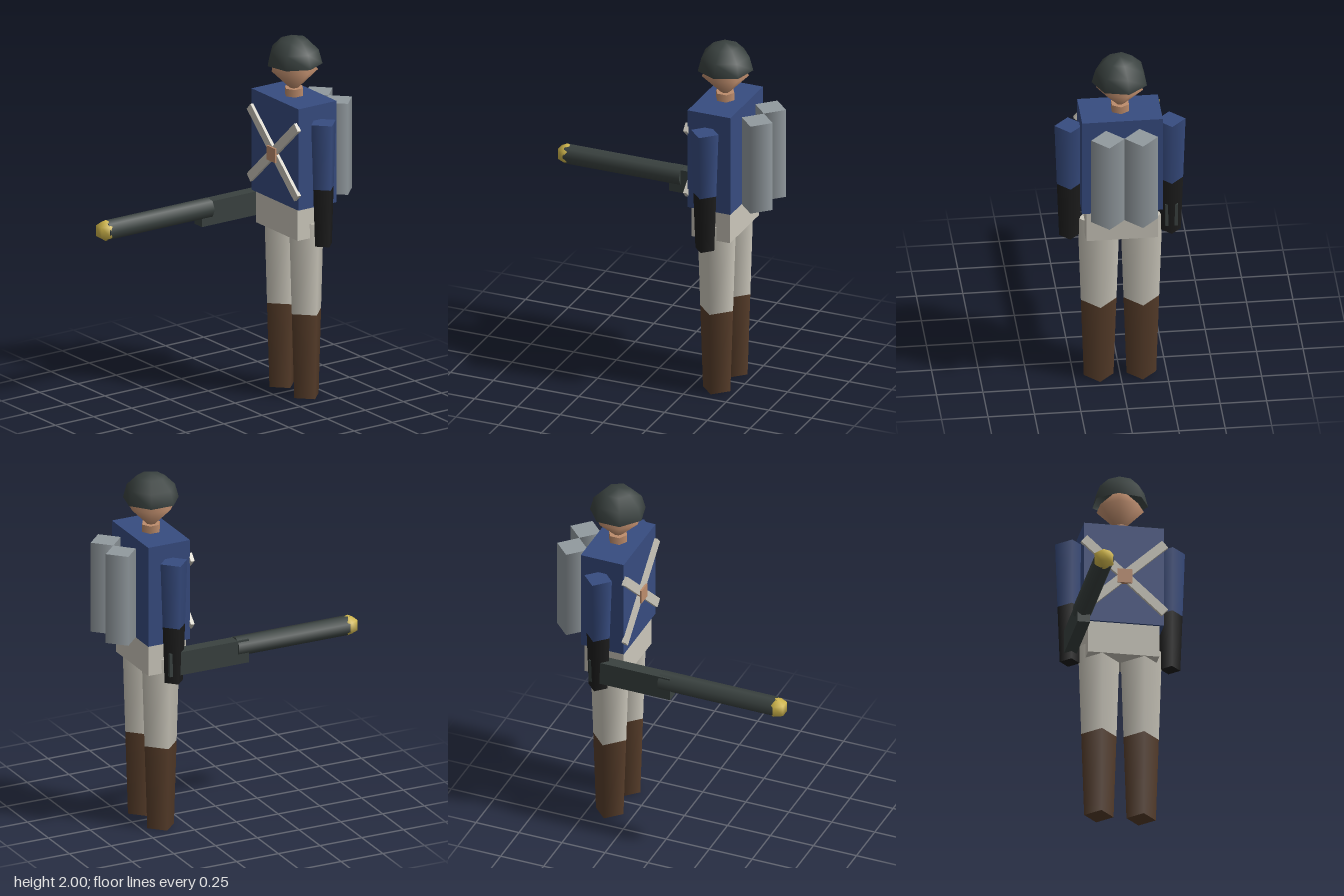
import * as THREE from 'three';

const mat = (name, color, side = THREE.FrontSide) => {
  const m = new THREE.MeshStandardMaterial({ color, side });
  m.name = name;
  return m;
};

export function createModel() {
  const blue = mat('coat blue', 0x374c80);
  const cream = mat('cream cloth', 0xcbc7bb);
  const brown = mat('boot brown', 0x573d2a);
  const skin = mat('skin', 0xbd8c6c);
  const iron = mat('dark iron', 0x3a4240, THREE.DoubleSide);
  const black = mat('glove black', 0x1d1d1d);
  const gold = mat('gold', 0xd2b84c);
  const grey = mat('canister grey', 0x929a9f);

  const model = new THREE.Group();
  model.name = 'soldier';
  const bodyZ = -0.386;

  const add = (name, geometry, material, x, y, z) => {
    const mesh = new THREE.Mesh(geometry, material);
    mesh.name = name;
    mesh.position.set(x, y, z);
    model.add(mesh);
    return mesh;
  };
  // Upright tapered column between two heights
  const column = (name, material, x, z, y0, y1, r0, r1, sides = 4) =>
    add(name, new THREE.CylinderGeometry(r1, r0, y1 - y0, sides), material, x, (y0 + y1) / 2, z);

  // Body
  add('torso', new THREE.BoxGeometry(0.434, 0.572, 0.25), blue, 0, 1.381, bodyZ);
  add('hips', new THREE.BoxGeometry(0.387, 0.19, 0.225), cream, 0, 1.01, bodyZ);

  // Limbs and back canisters, mirrored
  for (const [side, s] of [['left', 1], ['right', -1]]) {
    column(side + 'Boot', brown, s * 0.115, bodyZ, 0, 0.477, 0.08, 0.096);
    column(side + 'Leg', cream, s * 0.115, bodyZ, 0.477, 0.995, 0.096, 0.113);
    column(side + 'Glove', black, s * 0.273, bodyZ, 0.894, 1.217, 0.055, 0.067);
    column(side + 'Sleeve', blue, s * 0.273, bodyZ, 1.217, 1.584, 0.067, 0.08);
    column(side + 'Canister', grey, s * 0.09, -0.612, 1.106, 1.62, 0.09, 0.09);
    // Crossed chest straps
    const strap = add(side + 'Strap', new THREE.BoxGeometry(0.596, 0.05, 0.022), cream, 0, 1.367, -0.254);
    strap.rotation.z = s * 0.74;
  }
  add('buckle', new THREE.BoxGeometry(0.08, 0.08, 0.022), skin, 0, 1.36, -0.244);

  // Neck, head and open helmet
  column('neck', skin, 0, bodyZ, 1.62, 1.71, 0.053, 0.053, 6);
  add('head', new THREE.SphereGeometry(0.13, 7, 2), skin, 0, 1.815, bodyZ).rotation.y = Math.PI;
  add('helmet', new THREE.SphereGeometry(0.153, 7, 3, 0, Math.PI * 2, 0, Math.PI / 2),
    iron, 0, 1.847, bodyZ).rotation.y = Math.PI;

  // Gun held in the right hand
  add('gunStock', new THREE.BoxGeometry(0.068, 0.133, 0.475), iron, -0.274, 1.003, -0.19);
  const barrel = new THREE.CylinderGeometry(0.055, 0.055, 0.68, 7, 1, false, Math.PI / 2);
  add('gunBarrel', barrel, iron, -0.271, 1.027, 0.32).rotation.x = Math.PI / 2;
  add('gunMuzzle', new THREE.SphereGeometry(0.06, 6, 3), gold, -0.273, 1.027, 0.655);

  return model;
}
